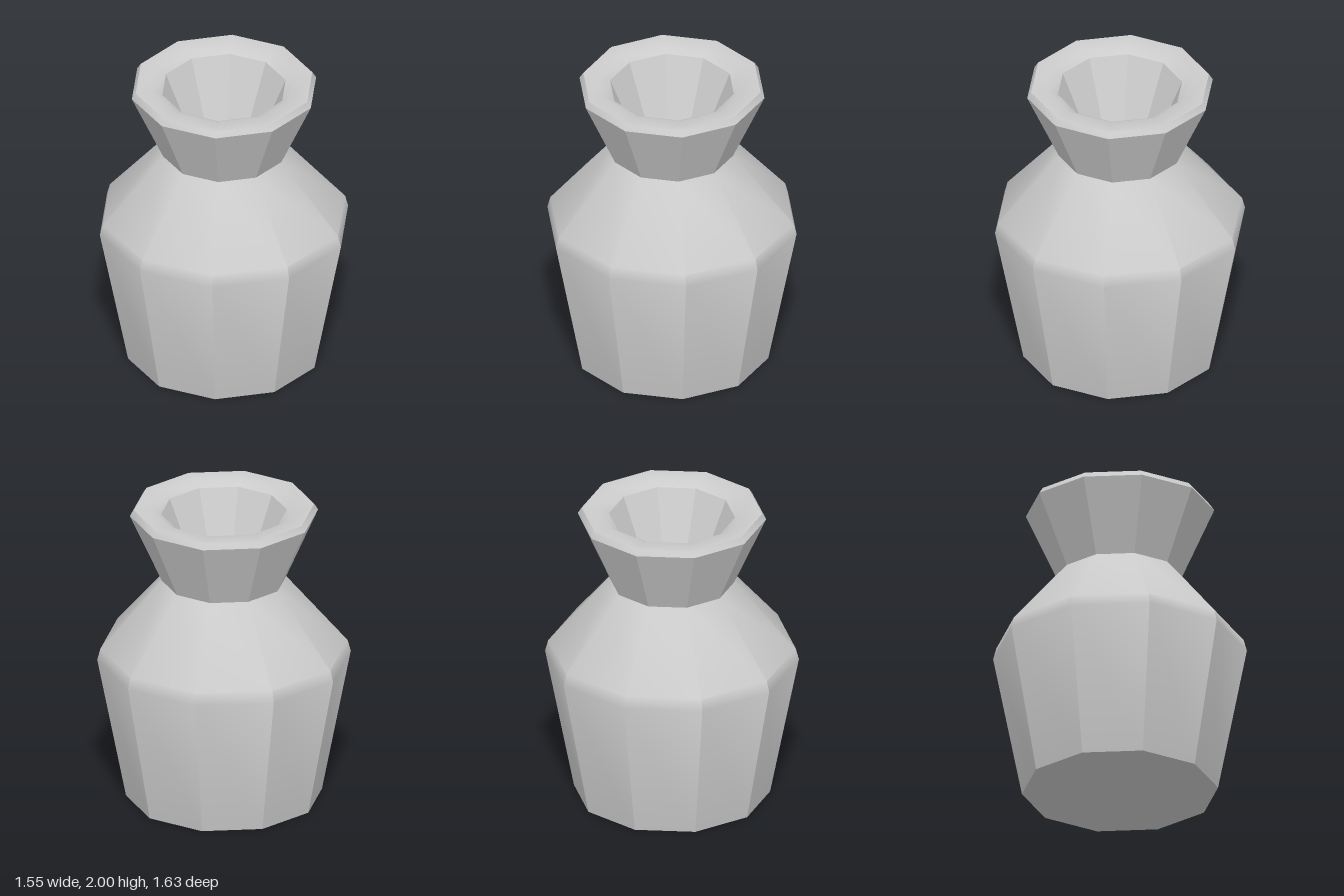
import * as THREE from 'three';
import { toCreasedNormals } from 'three/addons/utils/BufferGeometryUtils.js';

const SIDES = 10;
const CREASE = THREE.MathUtils.degToRad(32);

// Turns a profile of [radius, height] pairs, listed from the underside to the inside
function turned(name, profile, material) {
  const points = profile.map(([r, y]) => new THREE.Vector2(r, y));
  const geometry = toCreasedNormals(new THREE.LatheGeometry(points, SIDES), CREASE);
  const mesh = new THREE.Mesh(geometry, material);
  mesh.name = name;
  return mesh;
}

export function createModel() {
  const group = new THREE.Group();
  group.name = 'vase';
  const material = new THREE.MeshStandardMaterial({ color: 0xcccccc });

  // Closed base, tapered faceted sides, softened edge and smooth shoulder
  group.add(turned('body', [
    [0, 0], [0.63, 0], [0.815, 0.96], [0.795, 1.035], [0.4, 1.5],
  ], material));

  // Flared neck, bevelled lip, and the funnel-shaped mouth with its floor
  group.add(turned('neckAndMouth', [
    [0.4, 1.5], [0.605, 1.96], [0.58, 2], [0.47, 2],
    [0.405, 1.965], [0.235, 1.56], [0, 1.56],
  ], material));

  return group;
}
